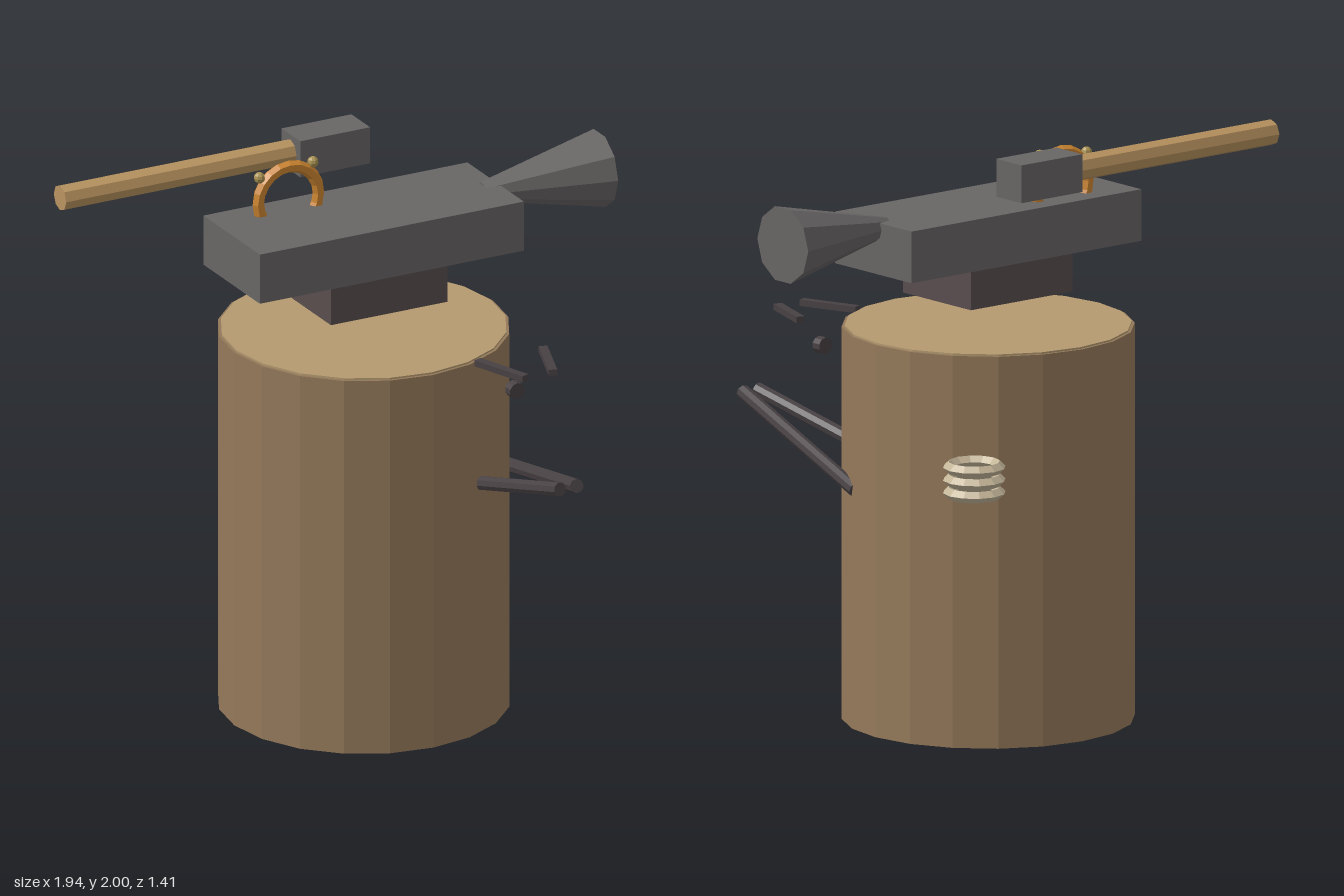
import * as THREE from 'three';

const material = (color) => new THREE.MeshStandardMaterial({ color, flatShading: true });
const bark = material(0x94795a);
const cutWood = material(0xb49a70);
const handleWood = material(0xb8935f);
const steel = material(0x686565);
const darkSteel = material(0x594d4e);
const iron = material(0x484144);
const bronze = material(0xcc8530);
const brass = material(0xa89050);
const wire = material(0xc4b598);

export function createModel() {
  const model = new THREE.Group();

  const add = (name, geometry, mat, x, y, z) => {
    const mesh = new THREE.Mesh(geometry, mat);
    mesh.name = name;
    mesh.position.set(x, y, z);
    model.add(mesh);
    return mesh;
  };

  // Round bar between two points
  const addRod = (name, from, to, radius, sides, mat) => {
    const a = new THREE.Vector3(...from);
    const dir = new THREE.Vector3(...to).sub(a);
    const mid = a.clone().addScaledVector(dir, 0.5);
    const rod = add(name, new THREE.CylinderGeometry(radius, radius, dir.length(), sides), mat, mid.x, mid.y, mid.z);
    rod.quaternion.setFromUnitVectors(new THREE.Vector3(0, 1, 0), dir.normalize());
    return rod;
  };

  // Tree stump with a paler cut face
  add('stump', new THREE.CylinderGeometry(0.5, 0.5, 1.367, 20), bark, 0.055, 0.6835, -0.19);
  add('stumpTop', new THREE.CylinderGeometry(0.49, 0.49, 0.02, 20), cutWood, 0.055, 1.363, -0.19);

  // Anvil: waist, body and flared horn
  add('anvilWaist', new THREE.BoxGeometry(0.45, 0.14, 0.36), darkSteel, 0.055, 1.55, -0.187);
  add('anvilBody', new THREE.BoxGeometry(1.02, 0.18, 0.405), steel, 0.055, 1.71, -0.19);
  const horn = new THREE.CylinderGeometry(0.135, 0.033, 0.455, 10).rotateZ(-Math.PI / 2);
  add('anvilHorn', horn, steel, 0.7375, 1.776, -0.188);

  // Hammer lying along x
  add('hammerHead', new THREE.BoxGeometry(0.27, 0.132, 0.134), steel, 0.055, 1.934, -0.461);
  addRod('hammerHandle', [-0.97, 1.937, -0.465], [-0.06, 1.937, -0.465], 0.045, 8, handleWood);

  // Horseshoe standing on the anvil, with two studs
  const shoe = new THREE.TorusGeometry(0.116, 0.022, 6, 14, Math.PI * 1.4).rotateZ(-Math.PI * 0.2);
  add('horseshoe', shoe, bronze, -0.175, 1.842, -0.303);
  for (const [x, y] of [[-0.287, 1.938], [-0.08, 1.957]]) {
    add('horseshoeStud', new THREE.SphereGeometry(0.02, 8, 6), brass, x, y, -0.303);
  }

  // Tongs: long arms, short jaws and a rivet, mirrored about x = 0.37
  for (const side of [-1, 1]) {
    const px = (d) => 0.37 + side * d;
    addRod('tongArm', [px(0.032), 1.03, 0.695], [px(0.148), 0.831, -0.04], 0.025, 8, iron);
    const jaw = add('tongJaw', new THREE.BoxGeometry(0.03, 0.022, 0.22), iron, px(0.09), 1.367, 0.381);
    jaw.rotation.y = -side * 0.34;
  }
  add('tongRivet', new THREE.CylinderGeometry(0.03, 0.03, 0.035, 10).rotateX(Math.PI / 2), iron, 0.37, 1.254, 0.312);

  // Coil of wire: three stacked rings
  for (let i = 0; i < 3; i++) {
    const ring = new THREE.TorusGeometry(0.088, 0.02, 4, 12).rotateX(Math.PI / 2);
    add('wireRing', ring, wire, 0.462, 0.913 + i * 0.044, -0.602);
  }

  return model;
}
